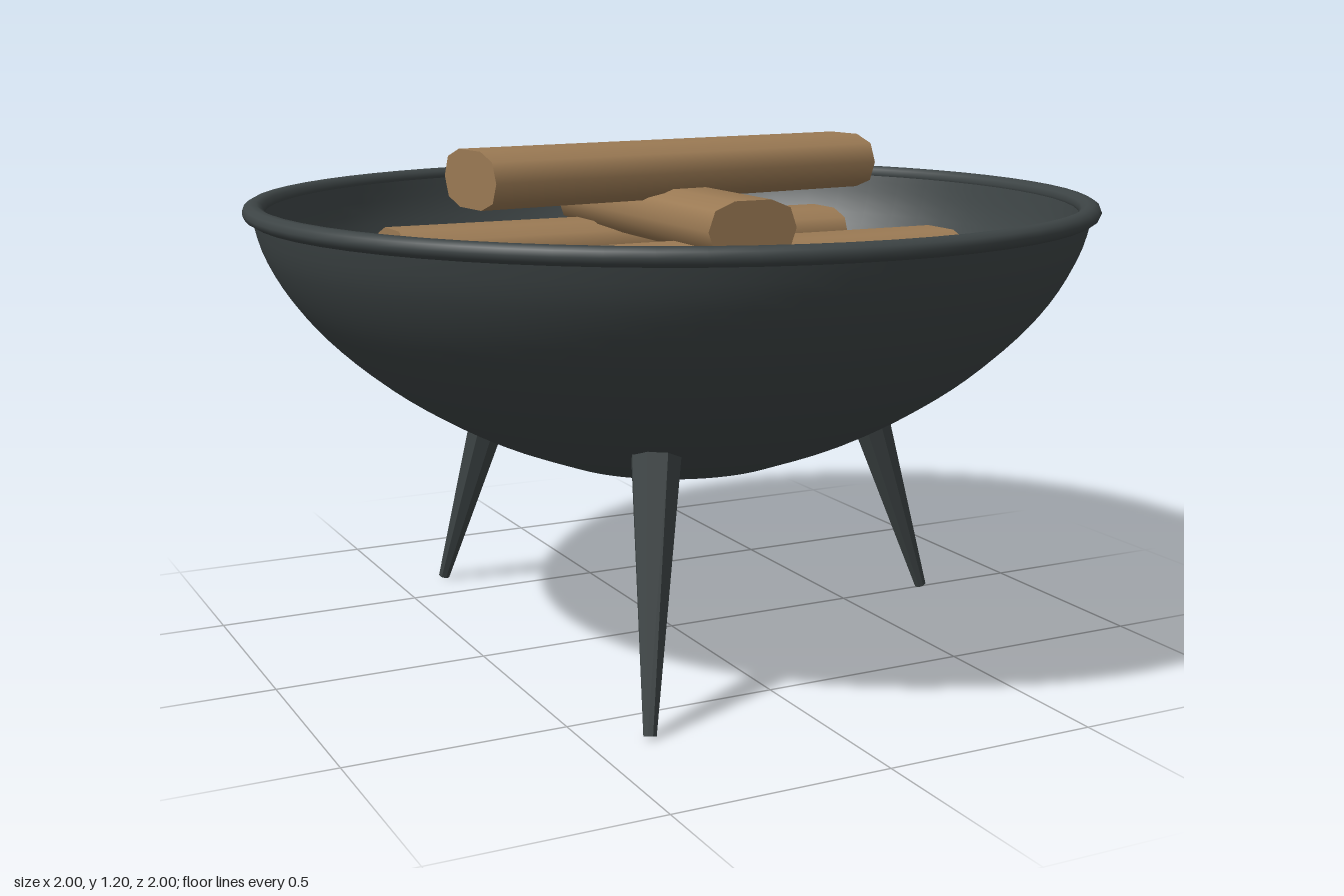
import * as THREE from 'three';

const iron = new THREE.MeshStandardMaterial({ color: 0x3d4445 });
iron.name = 'charcoal iron';
const wood = new THREE.MeshStandardMaterial({ color: 0x9b7a54 });
wood.name = 'firewood brown';

function add(parent, name, geometry, material) {
  const mesh = new THREE.Mesh(geometry, material);
  mesh.name = name;
  parent.add(mesh);
  return mesh;
}

// Smooth bowl profile from the flat base up to the lip
const profile = [
  [0.29, 0.45], [0.45, 0.513], [0.585, 0.584], [0.71, 0.668],
  [0.82, 0.765], [0.9, 0.86], [0.955, 0.96], [0.98, 1.05],
];
function bowlCurve(shrink, lift) {
  const points = profile.map(([r, y]) => new THREE.Vector2(r * shrink, y + lift * (1.05 - y) / 0.6));
  return new THREE.SplineCurve(points).getPoints(24);
}

// Flattened log lying along x, with a rounded ten-sided section
function logGeometry(length, width, height) {
  const geometry = new THREE.CylinderGeometry(1, 1, length, 10);
  const p = geometry.attributes.position;
  const soften = (v) => Math.sign(v) * Math.abs(v) ** 0.75;
  for (let i = 0; i < p.count; i++) {
    p.setX(i, soften(p.getX(i)));
    p.setZ(i, soften(p.getZ(i)));
  }
  return geometry.scale(height / 2, 1, width / 2).rotateZ(Math.PI / 2);
}

// Tapered faceted bar between two points
function taperedBar(parent, name, from, to, r0, r1, sides) {
  const dir = to.clone().sub(from);
  const geometry = new THREE.CylinderGeometry(r1, r0, dir.length(), sides).toNonIndexed();
  geometry.computeVertexNormals();
  const mesh = add(parent, name, geometry, iron);
  mesh.position.copy(from).add(to).multiplyScalar(0.5);
  mesh.quaternion.setFromUnitVectors(new THREE.Vector3(0, 1, 0), dir.normalize());
}

export function createModel() {
  const model = new THREE.Group();
  model.name = 'fireBowl';

  // Bowl: outer shell, flat base, inner shell and floor
  const bowl = new THREE.Group();
  bowl.name = 'bowl';
  model.add(bowl);
  add(bowl, 'outerShell', new THREE.LatheGeometry(bowlCurve(1, 0), 64), iron);
  add(bowl, 'innerShell', new THREE.LatheGeometry(bowlCurve(0.97, 0.03).reverse(), 64), iron);
  const base = add(bowl, 'base', new THREE.CircleGeometry(0.29, 64), iron);
  base.rotation.x = Math.PI / 2;
  base.position.y = 0.45;
  const floor = add(bowl, 'floor', new THREE.CircleGeometry(0.29 * 0.97, 64), iron);
  floor.rotation.x = -Math.PI / 2;
  floor.position.y = 0.48;

  // Rolled rim
  const rim = add(model, 'rim', new THREE.TorusGeometry(0.975, 0.025, 10, 64), iron);
  rim.rotation.x = Math.PI / 2;
  rim.scale.z = 0.82;
  rim.position.y = 1.055;

  // Three splayed legs, poking slightly through the bowl
  for (let i = 0; i < 3; i++) {
    const a = i * Math.PI * 2 / 3;
    const at = (r, y) => new THREE.Vector3(r * Math.cos(a), y, r * Math.sin(a));
    taperedBar(model, 'leg', at(0.738, 0.005), at(0.515, 0.625), 0.015, 0.062, 8);
  }

  // Grate of seven tapered bars
  const grate = new THREE.Group();
  grate.name = 'grate';
  model.add(grate);
  const halfLengths = [0.83, 0.815, 0.76, 0.645];
  for (let i = -3; i <= 3; i++) {
    const h = halfLengths[Math.abs(i)];
    const z = i * 0.178;
    taperedBar(grate, 'grateBar', new THREE.Vector3(-h - 0.005, 0.855, z),
      new THREE.Vector3(h, 0.855, z), 0.02, 0.004, 8);
  }

  // Stacked logs: length, width, centre and turn about y
  const logs = [
    ['backLog', 1.19, 0.25, [-0.013, 0.93, -0.268], 0],
    ['frontLog', 1.19, 0.25, [-0.013, 0.93, 0.275], 0],
    ['crossLog', 0.83, 0.22, [-0.01, 1.035, 0.005], Math.PI / 2],
    ['topLog', 1.05, 0.25, [-0.01, 1.137, 0.002], 0.115],
  ];
  for (const [name, length, width, position, turn] of logs) {
    const log = add(model, name, logGeometry(length, width, 0.135), wood);
    log.position.set(...position);
    log.rotation.y = turn;
  }
  return model;
}
